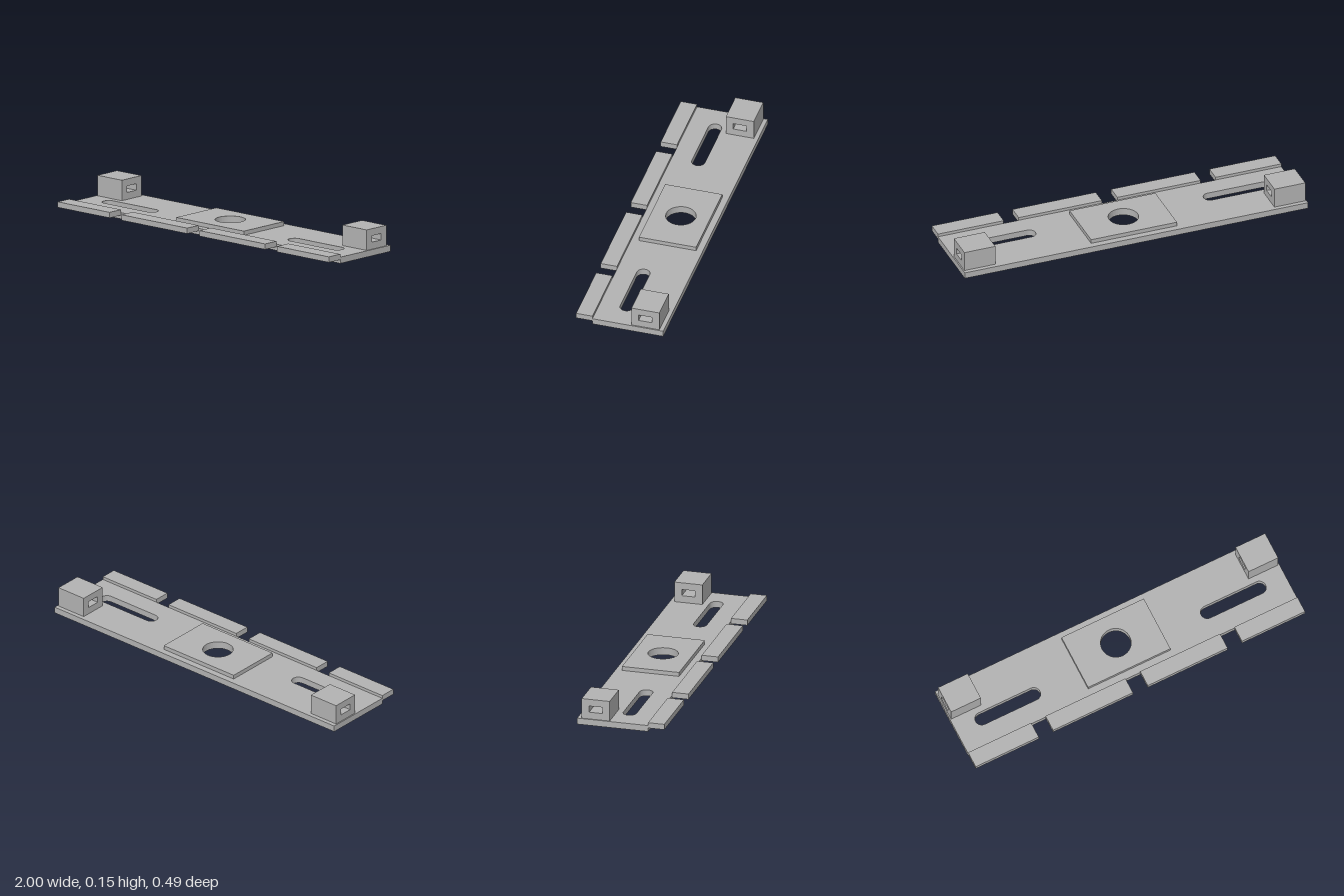
import * as THREE from 'three';

const metal = new THREE.MeshStandardMaterial({ color: 0xb2b2b2 });
metal.name = 'grey metal';

const BORE_Z = -0.05;

// Rectangle in plan; shape y is -z
function rect(x0, x1, y0, y1) {
  const s = new THREE.Shape();
  s.moveTo(x0, y0);
  s.lineTo(x1, y0);
  s.lineTo(x1, y1);
  s.lineTo(x0, y1);
  s.closePath();
  return s;
}

function circleHole(z, r) {
  const p = new THREE.Path();
  p.absarc(0, -z, r, 0, Math.PI * 2, true);
  return p;
}

// Round-ended slot along x
function slotHole(x0, x1, z, r) {
  const p = new THREE.Path();
  p.absarc(x1 - r, -z, r, -Math.PI / 2, Math.PI / 2, false);
  p.absarc(x0 + r, -z, r, Math.PI / 2, Math.PI * 1.5, false);
  p.closePath();
  return p;
}

// Flat layer between heights y0 and y1
function layer(name, shape, holes, y0, y1) {
  shape.holes.push(...holes);
  const g = new THREE.ExtrudeGeometry(shape, { depth: y1 - y0, bevelEnabled: false, curveSegments: 24 });
  g.rotateX(-Math.PI / 2);
  g.translate(0, y0, 0);
  const m = new THREE.Mesh(g, metal);
  m.name = name;
  return m;
}

export function createModel() {
  const model = new THREE.Group();
  model.name = 'mountingPlate';

  // Base plate in two layers: wide counterbore below, narrow bore above
  const slots = () => [slotHole(-0.88, -0.49, 0.007, 0.037), slotHole(0.49, 0.88, 0.007, 0.037)];
  model.add(layer('basePlateLower', rect(-1, 1, -0.155, 0.246),
    [circleHole(BORE_Z, 0.138), ...slots()], 0, 0.017));
  model.add(layer('basePlateUpper', rect(-1, 1, -0.155, 0.246),
    [circleHole(BORE_Z, 0.083), ...slots()], 0.017, 0.035));

  // Raised pad around the bore
  model.add(layer('centrePad', rect(-0.25, 0.25, -0.113, 0.21),
    [circleHole(BORE_Z, 0.083)], 0.035, 0.058));

  // Front edge tabs
  for (const [x0, x1] of [[-1, -0.617], [-0.53, -0.045], [0.045, 0.53], [0.617, 1]]) {
    const tab = new THREE.Mesh(new THREE.BoxGeometry(x1 - x0, 0.031, 0.092), metal);
    tab.position.set((x0 + x1) / 2, 0.0365, 0.201);
    tab.name = 'frontTab';
    model.add(tab);
  }

  // Rear corner blocks with a rectangular window running through along x
  for (const side of [-1, 1]) {
    const s = rect(0.064, 0.222, 0.035, 0.149);
    s.holes.push(rect(0.105, 0.18, 0.074, 0.11));
    const g = new THREE.ExtrudeGeometry(s, { depth: 0.18, bevelEnabled: false });
    g.translate(0, 0, -0.09);
    g.rotateY(Math.PI / 2);
    const block = new THREE.Mesh(g, metal);
    block.position.x = side * 0.903;
    block.name = side > 0 ? 'leftBlock' : 'rightBlock';
    model.add(block);
  }

  return model;
}
